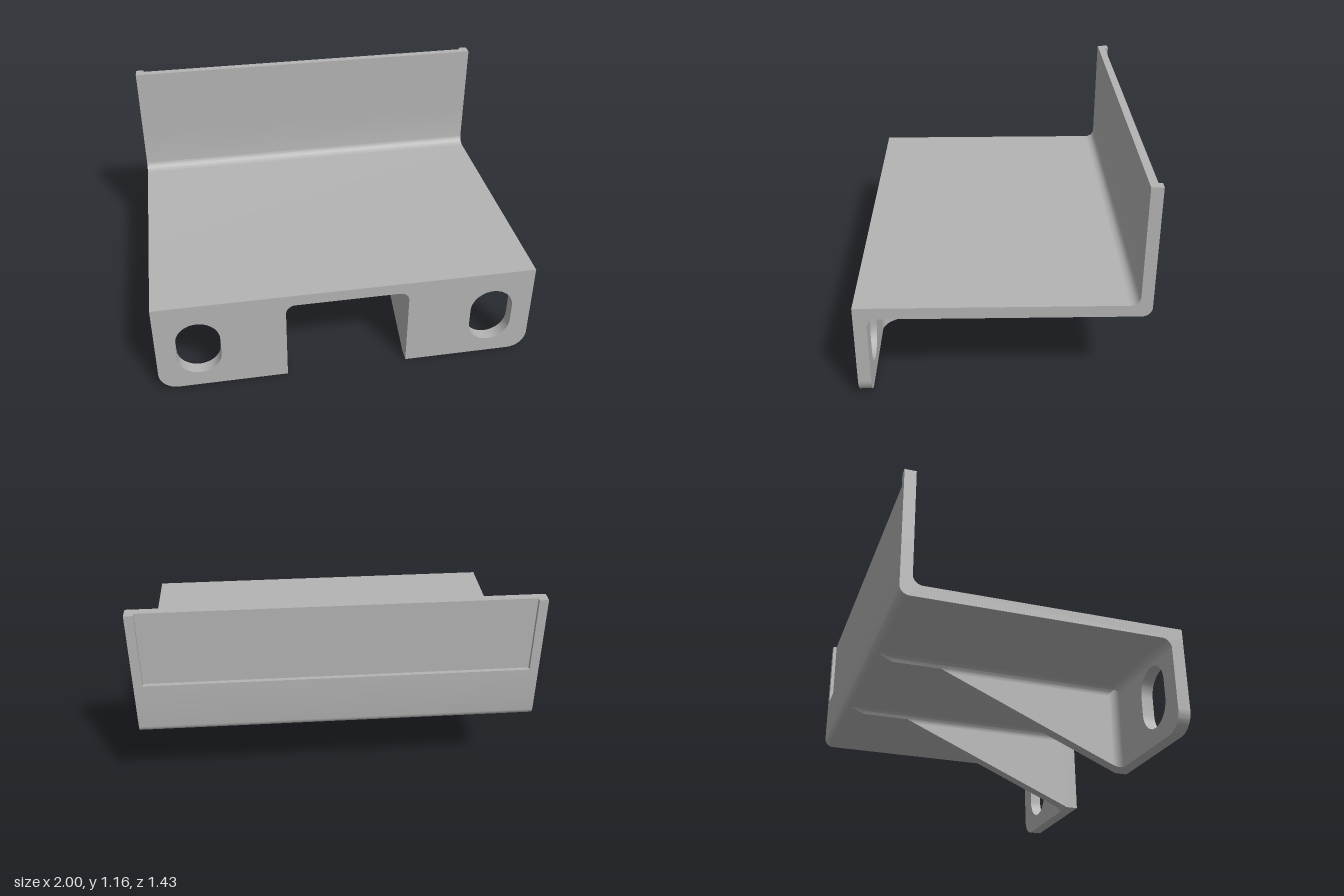
import * as THREE from 'three';
import { toCreasedNormals } from 'three/addons/utils/BufferGeometryUtils.js';

const W = 1;                    // half width
const FRONT = 0.715, BACK = -0.715;
const TAB_BACK = 0.65;          // rear face of the mounting tabs
const UNDER = 0.468, TOP = 0.53; // shelf underside and top
const RIB_IN = 0.323, RIB_OUT = 0.388;
const R = 0.05;                 // fillet radius
const RECESS_Y = 0.76, WALL_TOP = 1.16;

// Lower edge of the ribs as (z, y) points, front to back
const RIB_EDGE = [[TAB_BACK, 0], [-0.306, 0.42], [-0.34, 0.435], [-0.6, 0.435], [-0.67, UNDER]];

function ribBottom(z) {
  if (z >= TAB_BACK) return 0;
  for (let i = 1; i < RIB_EDGE.length; i++) {
    const [z0, y0] = RIB_EDGE[i - 1], [z1, y1] = RIB_EDGE[i];
    if (z >= z1) return y0 + (y1 - y0) * (z0 - z) / (z0 - z1);
  }
  return UNDER;
}

// Extrude a shape along an axis: x uses (-z, y), y uses (x, -z), z uses (x, y)
function extrude(shape, axis, from, to, trim = false) {
  const geo = new THREE.ExtrudeGeometry(shape, { depth: to - from, bevelEnabled: false, curveSegments: 10 });
  geo.translate(0, 0, from);
  if (axis === 'x') geo.rotateY(Math.PI / 2);
  if (axis === 'y') geo.rotateX(-Math.PI / 2);
  if (trim) { // keep fillets above the sloping rib edge
    const p = geo.attributes.position;
    for (let i = 0; i < p.count; i++) p.setY(i, Math.max(p.getY(i), ribBottom(p.getZ(i))));
  }
  return toCreasedNormals(geo, 0.6);
}

// Concave fillet section in the corner (u, v), with legs in directions su, sv
function filletShape(u, v, su, sv) {
  const pts = [new THREE.Vector2(u, v)];
  for (let i = 0; i <= 10; i++) {
    const a = (i / 10) * Math.PI / 2;
    pts.push(new THREE.Vector2(u + su * R * (1 - Math.sin(a)), v + sv * R * (1 - Math.cos(a))));
  }
  return new THREE.Shape(pts);
}

function polygon(points) {
  return new THREE.Shape(points.map(([x, y]) => new THREE.Vector2(x, y)));
}

function mirrorX(geo) {
  const m = geo.clone().scale(-1, 1, 1);
  const index = [];
  for (let i = 0; i < m.attributes.position.count; i += 3) index.push(i, i + 2, i + 1);
  m.setIndex(index);
  return m;
}

export function createModel() {
  const model = new THREE.Group();
  model.name = 'mountingBracket';
  const metal = new THREE.MeshStandardMaterial({ color: 0xb4b4b4 });
  metal.name = 'plainGrey';

  const add = (name, geo) => {
    const mesh = new THREE.Mesh(geo, metal);
    mesh.name = name;
    model.add(mesh);
  };
  const addPair = (name, geo) => {
    add(name + 'Left', geo);
    add(name + 'Right', mirrorX(geo));
  };

  // Shelf bending up into the lower back wall
  const section = new THREE.Shape();
  section.moveTo(-FRONT, UNDER);
  section.lineTo(-BACK - R, UNDER);
  section.absarc(-BACK - R, UNDER + R, R, -Math.PI / 2, 0, false);
  section.lineTo(-BACK, RECESS_Y);
  section.lineTo(0.655, RECESS_Y);
  section.lineTo(0.655, TOP + R);
  section.absarc(0.655 - R, TOP + R, R, 0, -Math.PI / 2, true);
  section.lineTo(-FRONT, TOP);
  section.closePath();
  add('shelf', extrude(section, 'x', -W, W));

  // Upper back wall with a shallow recess in its rear face
  const wall = polygon([
    [-W, 0.655], [W, 0.655], [W, 0.715], [0.955, 0.715],
    [0.955, 0.695], [-0.955, 0.695], [-0.955, 0.715], [-W, 0.715],
  ]);
  add('backWall', extrude(wall, 'y', RECESS_Y, WALL_TOP));

  // Front tabs with upright slots
  const tab = new THREE.Shape();
  tab.moveTo(RIB_IN, 0);
  tab.lineTo(W - 0.1, 0);
  tab.absarc(W - 0.1, 0.1, 0.1, -Math.PI / 2, 0, false);
  tab.lineTo(W, UNDER);
  tab.lineTo(RIB_IN, UNDER);
  tab.closePath();
  const slot = new THREE.Path();
  slot.absarc(0.78, 0.3, 0.115, 0, Math.PI, false);
  slot.absarc(0.78, 0.2, 0.115, Math.PI, Math.PI * 2, false);
  slot.closePath();
  tab.holes.push(slot);
  addPair('mountingTab', extrude(tab, 'z', TAB_BACK, FRONT));

  // Sloping ribs under the shelf
  const rib = polygon([...RIB_EDGE.map(([z, y]) => [-z, y]), [-TAB_BACK, UNDER]]);
  addPair('rib', extrude(rib, 'x', RIB_IN, RIB_OUT));

  // Fillets between ribs and shelf, in lengths that follow the rib edge
  const inner = filletShape(RIB_IN, UNDER, -1, -1);
  const outer = filletShape(RIB_OUT, UNDER, 1, -1);
  for (let i = 1; i < RIB_EDGE.length; i++) {
    const z0 = RIB_EDGE[i - 1][0], z1 = RIB_EDGE[i][0];
    addPair('ribInnerFillet' + i, extrude(inner, 'z', z1, i === 1 ? FRONT : z0, i > 1));
    addPair('ribOuterFillet' + i, extrude(outer, 'z', z1, z0, i > 1));
  }

  // Fillets behind the tabs: upright against the rib, level under the shelf
  addPair('tabRibFillet', extrude(filletShape(RIB_OUT, -TAB_BACK, 1, 1), 'y', 0, UNDER, true));
  addPair('tabShelfFillet', extrude(filletShape(-TAB_BACK, UNDER, 1, -1), 'x', RIB_OUT, W));

  return model;
}
